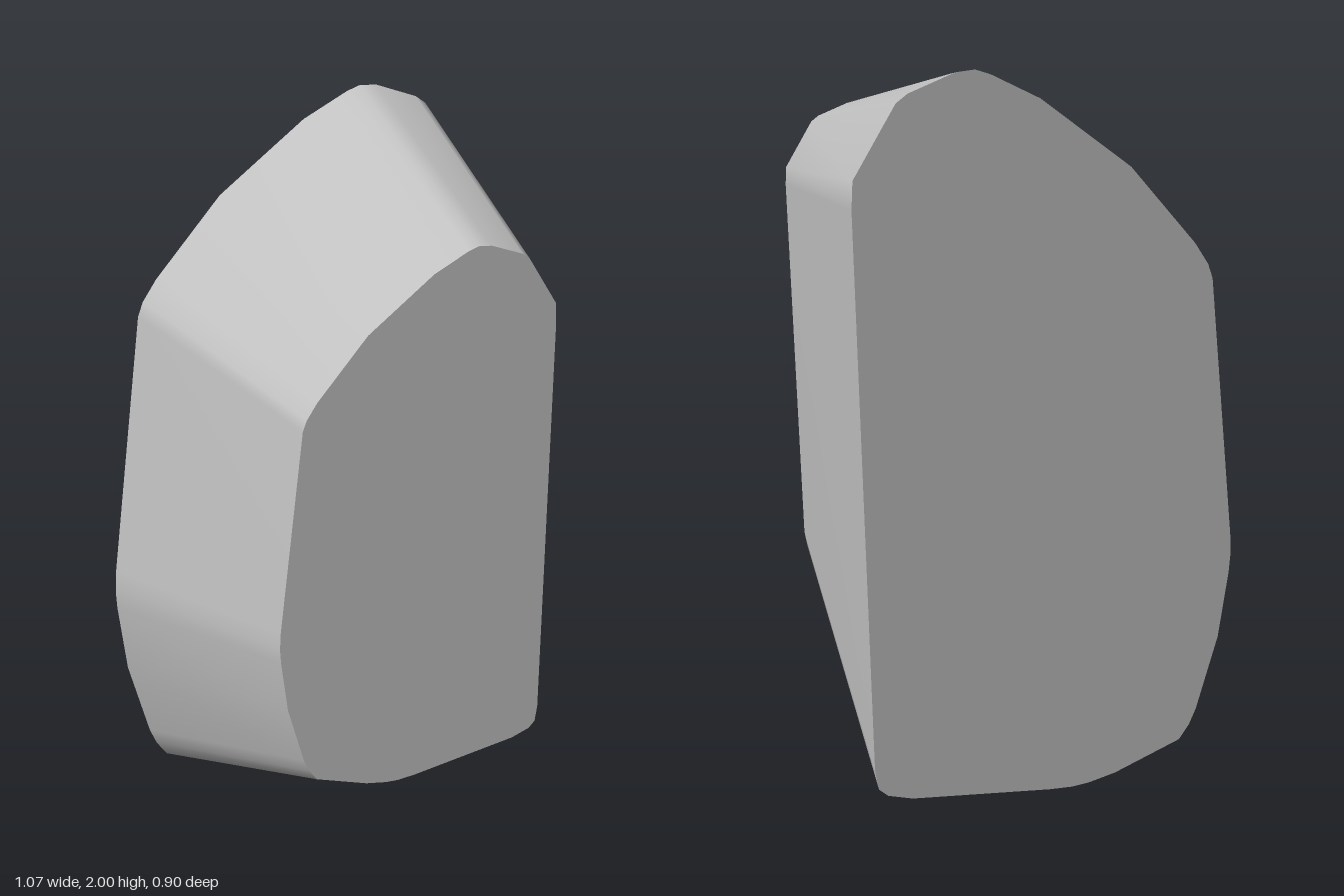
import * as THREE from 'three';

// Outline of the wide back end, counter-clockwise seen from the front
const OUTLINE = [
  [-0.12, 0], [-0.07, 0], [0, 0.01], [0.4, 0.088], [0.47, 0.115], [0.495, 0.14], [0.505, 0.2],
  [0.534, 1.7], [0.53, 1.77], [0.42, 1.94], [0.39, 1.96], [0.27, 1.998], [0.22, 2],
  [0.18, 1.985], [0.05, 1.915], [-0.2, 1.72], [-0.39, 1.5], [-0.43, 1.44], [-0.445, 1.4],
  [-0.535, 0.66], [-0.538, 0.6], [-0.535, 0.55], [-0.51, 0.36], [-0.45, 0.15],
  [-0.43, 0.105], [-0.4, 0.065], [-0.2, 0.01],
];
const HALF_DEPTH = 0.45;

export function createModel() {
  const group = new THREE.Group();
  group.name = 'taperedBlock';
  const grey = new THREE.MeshStandardMaterial({ color: 0xc0c0c0 });
  grey.name = 'light grey';

  // The front end is the same outline, shrunk and raised
  const back = OUTLINE;
  const front = OUTLINE.map(([x, y]) => [x * 0.7, y * 0.7 + 0.323]);
  const n = OUTLINE.length;

  const add = (name, geometry) => {
    const mesh = new THREE.Mesh(geometry, grey);
    mesh.name = name;
    group.add(mesh);
    return mesh;
  };

  // Smooth tapered wall between both ends
  const positions = [];
  const index = [];
  for (const [x, y] of back) positions.push(x, y, -HALF_DEPTH);
  for (const [x, y] of front) positions.push(x, y, HALF_DEPTH);
  for (let i = 0; i < n; i++) {
    const j = (i + 1) % n;
    index.push(i, j, n + j, i, n + j, n + i);
  }
  const wall = new THREE.BufferGeometry();
  wall.setAttribute('position', new THREE.Float32BufferAttribute(positions, 3));
  wall.setIndex(index);
  wall.computeVertexNormals();
  add('taperedWall', wall);

  // Flat ends
  const face = (points) =>
    new THREE.ShapeGeometry(new THREE.Shape(points.map(([x, y]) => new THREE.Vector2(x, y))));
  add('frontFace', face(front)).position.z = HALF_DEPTH;

  const backGeometry = face(back.map(([x, y]) => [-x, y]));
  backGeometry.rotateY(Math.PI);
  add('backFace', backGeometry).position.z = -HALF_DEPTH;

  return group;
}
